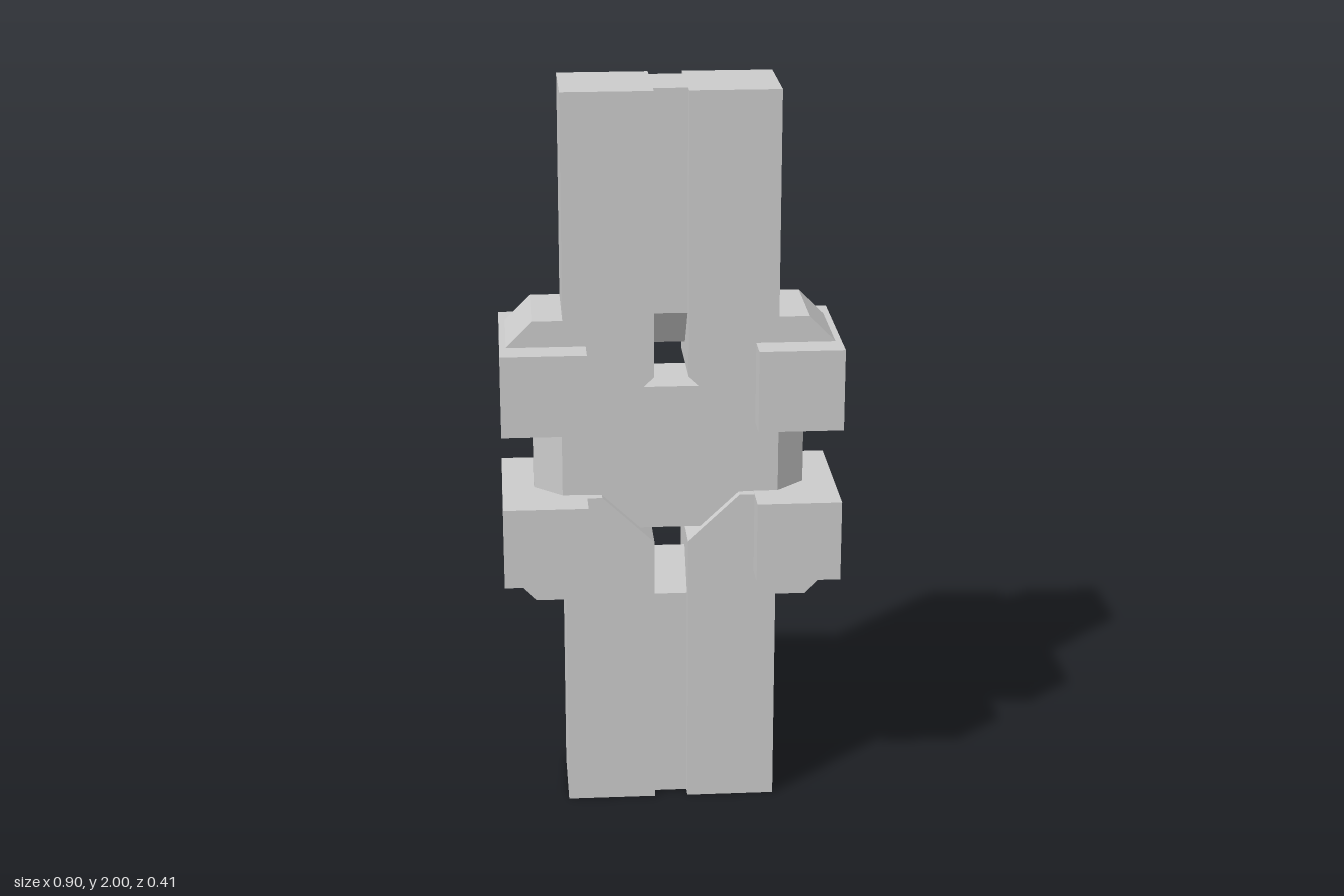
import * as THREE from 'three';

const material = new THREE.MeshStandardMaterial({ color: 0xcccccc, flatShading: true });

// Extrudes a polygon, centred on its depth axis
function prism(points, depth) {
  const shape = new THREE.Shape(points.map(([x, y]) => new THREE.Vector2(x, y)));
  const geometry = new THREE.ExtrudeGeometry(shape, { depth, bevelEnabled: false });
  return geometry.translate(0, 0, -depth / 2);
}

function addPart(parent, name, geometry) {
  const mesh = new THREE.Mesh(geometry, material);
  mesh.name = name;
  parent.add(mesh);
  return mesh;
}

export function createModel() {
  const model = new THREE.Group();
  model.name = 'crossJoint';

  // Profiles are measured from the joint centre at y = 1
  const railProfile = [
    [0.045, 1], [0.285, 1], [0.285, 0.395], [0.365, 0.395],
    [0.435, 0.325], [0.435, 0.103], [0.185, 0.103], [0.045, 0.235],
  ];
  const webProfile = [[-0.09, 1], [-0.09, 0.4], [0, 0.293], [0.09, 0.4], [0.09, 1]];
  const coreCapProfile = [[-0.19, 0.1], [0.19, 0.1], [0.083, 0.2], [-0.083, 0.2]];

  for (const v of [1, -1]) {
    const end = v > 0 ? 'upper' : 'lower';
    const arm = new THREE.Group();
    arm.name = end + 'Arm';
    arm.position.y = 1;
    model.add(arm);
    const flip = (points, h = 1) => points.map(([x, y]) => [x * h, y * v]);

    for (const h of [1, -1]) {
      const side = h > 0 ? 'Left' : 'Right';
      // Rail with its chamfered shoulder and slanted inner corner
      addPart(arm, end + side + 'Rail', prism(flip(railProfile, h), 0.25));
      // Wide clamp block around the shoulder
      addPart(arm, end + side + 'Block', new THREE.BoxGeometry(0.227, 0.222, 0.41))
        .position.set(h * 0.3385, v * 0.213, 0);
    }

    // Recessed web between the rails, tapering to a wedge at the joint
    addPart(arm, end + 'Web', prism(flip(webProfile), 0.09).rotateY(Math.PI / 2));
    // Sloped cap of the core
    addPart(arm, end + 'CoreCap', prism(flip(coreCapProfile), 0.2));
  }

  // Core bar with chamfered ends
  const corePlan = [
    [-0.365, -0.03], [-0.29, -0.1], [0.29, -0.1],
    [0.365, -0.03], [0.365, 0.03], [0.29, 0.1], [-0.29, 0.1], [-0.365, 0.03],
  ];
  addPart(model, 'core', prism(corePlan, 0.206).rotateX(Math.PI / 2)).position.y = 1;

  return model;
}
